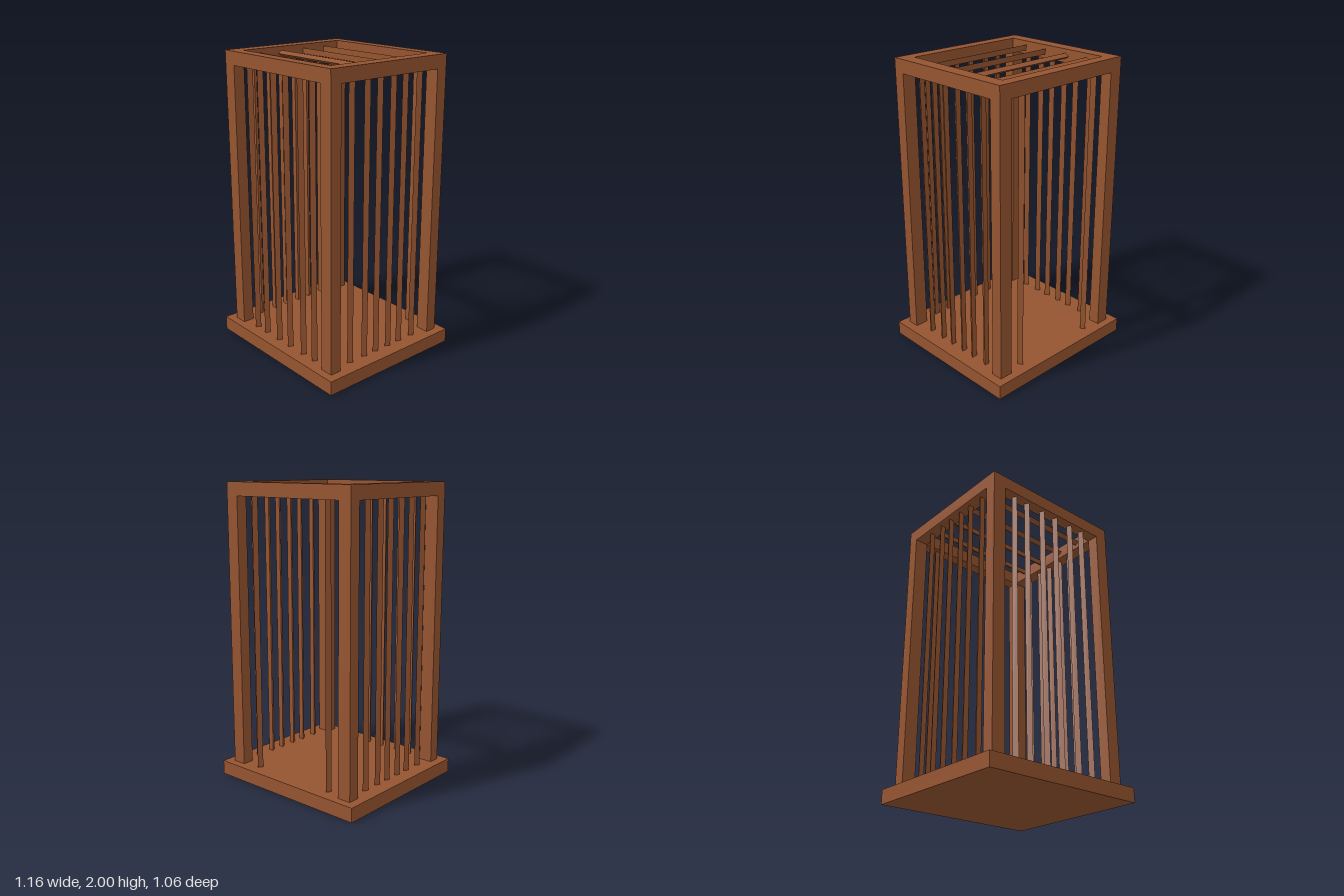
import * as THREE from 'three';

const wood = new THREE.MeshStandardMaterial({ color: 0x955430, flatShading: true });
wood.name = 'brownWood';

const BASE_H = 0.095, BEAM_Y = 1.91, TOP = 2;
const OUT_X = 0.52, OUT_Z = 0.475, IN_X = 0.427, IN_Z = 0.397;
const BAR_R = 0.0217;

function add(parent, name, geometry, x, y, z) {
  const mesh = new THREE.Mesh(geometry, wood);
  mesh.name = name;
  mesh.position.set(x, y, z);
  parent.add(mesh);
  return mesh;
}

// rectangle outline centred on the origin
function rectangle(Type, hx, hy) {
  const r = new Type();
  r.moveTo(-hx, -hy).lineTo(hx, -hy).lineTo(hx, hy).lineTo(-hx, hy).closePath();
  return r;
}

export function createModel() {
  const cage = new THREE.Group();
  cage.name = 'cage';

  // floor slab
  add(cage, 'base', new THREE.BoxGeometry(1.16, BASE_H, 1.056), 0, BASE_H / 2, 0);

  // open frame around the top
  const outline = rectangle(THREE.Shape, OUT_X, OUT_Z);
  outline.holes.push(rectangle(THREE.Path, IN_X, IN_Z));
  const frame = new THREE.ExtrudeGeometry(outline, { depth: TOP - BEAM_Y, bevelEnabled: false });
  frame.rotateX(-Math.PI / 2);
  add(cage, 'topFrame', frame, 0, BEAM_Y, 0);

  // corner posts
  const postH = BEAM_Y - BASE_H, midY = (BEAM_Y + BASE_H) / 2;
  const midX = (OUT_X + IN_X) / 2, midZ = (OUT_Z + IN_Z) / 2;
  const post = new THREE.BoxGeometry(OUT_X - IN_X, postH, OUT_Z - IN_Z);
  for (const sx of [-1, 1])
    for (const sz of [-1, 1]) add(cage, 'cornerPost', post, sx * midX, midY, sz * midZ);

  // three-sided upright bars, ridge facing +z or turned to face -z
  const bar = new THREE.CylinderGeometry(BAR_R, BAR_R, postH, 3);
  const upright = (name, x, z, ridge) => {
    add(cage, name, bar, x, midY, z).rotation.y = ridge > 0 ? 0 : Math.PI;
  };
  for (const x of [-0.31, -0.2, -0.063, 0.057, 0.196, 0.308]) upright('frontBar', x, midZ, 1);
  for (const x of [-0.31, 0.308]) upright('backBar', x, -midZ, -1); // doorway between them
  for (const z of [0.284, 0.16, 0.058, -0.053, -0.154, -0.276])
    for (const s of [-1, 1]) upright(s > 0 ? 'leftBar' : 'rightBar', s * midX, z - s * BAR_R / 4, s);

  // roof bars across the top, ridges facing outward
  const roofBar = new THREE.CylinderGeometry(BAR_R, BAR_R, 2 * IN_X, 3);
  roofBar.rotateZ(Math.PI / 2);
  for (const s of [-1, 1])
    for (const z of [0.101, 0.28])
      add(cage, 'roofBar', roofBar, 0, 1.955, s * z).rotation.y = s > 0 ? 0 : Math.PI;

  return cage;
}
